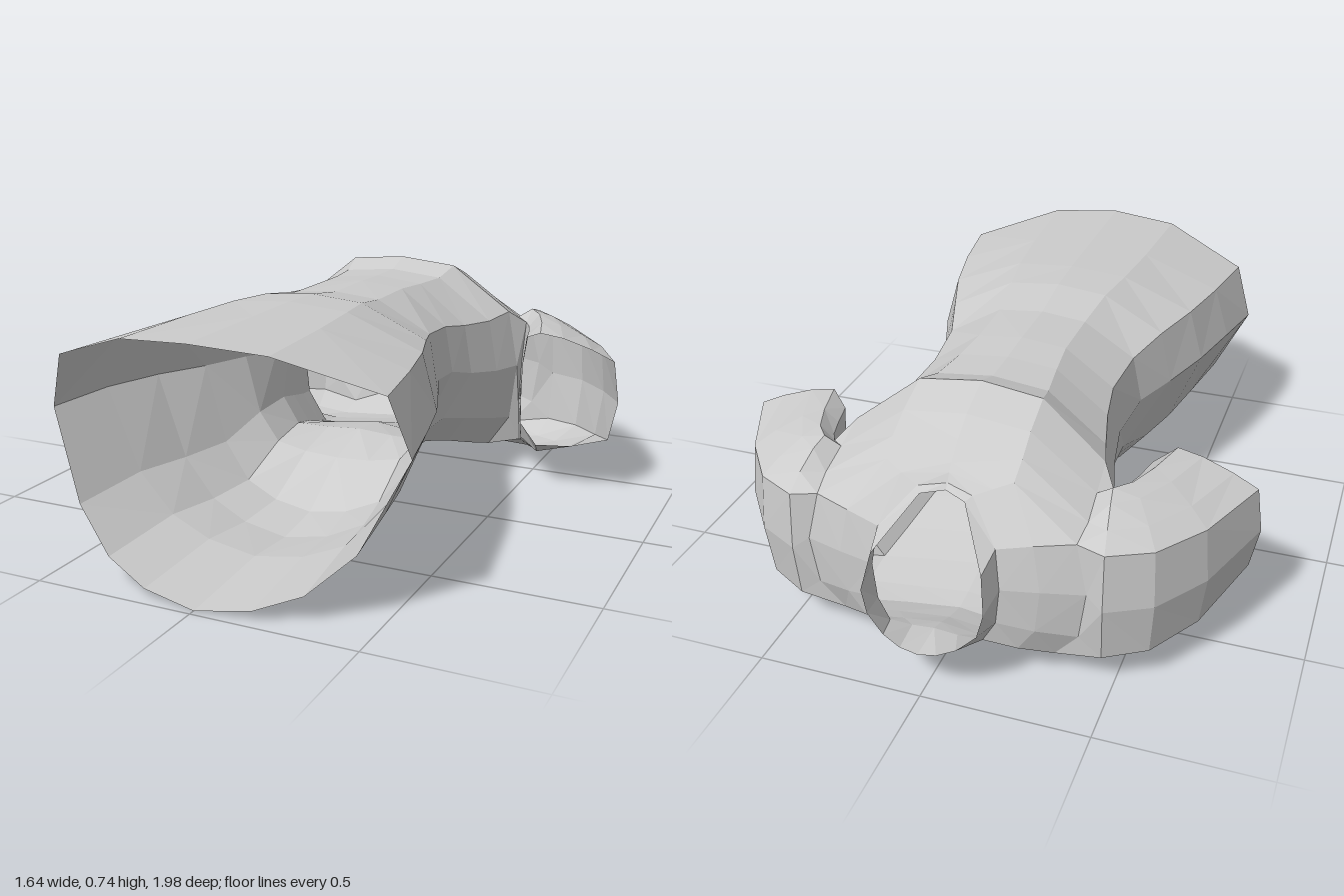
import * as THREE from 'three';

const material = new THREE.MeshStandardMaterial({ color: 0xcccccc, flatShading: true, side: THREE.DoubleSide });

// Half cross-sections from front centre round the side to back centre:
// [share of half width, share of height]
const SECTIONS = [
  [[0, 1], [0.4, 0.98], [0.9, 0.85], [1, 0.62], [0.78, 0.27], [0.55, 0.11], [0.3, 0.035], [0, 0]],    // skirt
  [[0, 1], [0.45, 0.97], [0.92, 0.74], [1, 0.45], [0.95, 0.16], [0.78, 0], [0.38, 0.03], [0, 0.06]], // chest
  [[0, 1], [0.37, 0.98], [0.9, 0.64], [1, 0.38], [0.9, 0.2], [0.6, 0.08], [0.3, 0.02], [0, 0]],      // neck
];

// Rings from hem to collar: zFront, zSide, zBack, halfWidth, yFront, yBack, section blend
const RINGS = [
  [0.97, 0.81, 0.98, 0.56, 0.74, 0, 0],
  [0.62, 0.6, 0.64, 0.52, 0.74, 0.025, 0],
  [0.4, 0.4, 0.45, 0.47, 0.74, 0.012, 0],
  [0.25, 0.22, 0.28, 0.405, 0.735, 0.03, 0.1],
  [0.08, 0.06, 0.08, 0.345, 0.71, 0.14, 0.4],
  [-0.12, -0.12, -0.1, 0.325, 0.71, 0.175, 0.8],
  [-0.25, -0.25, -0.25, 0.345, 0.705, 0.15, 1],
  [-0.38, -0.4, -0.38, 0.385, 0.705, 0.105, 1],
  [-0.47, -0.52, -0.5, 0.42, 0.735, 0.07, 1],
  [-0.59, -0.62, -0.62, 0.425, 0.69, 0.05, 1],
  [-0.66, -0.72, -0.69, 0.43, 0.645, 0.045, 1],
  [-0.71, -0.8, -0.77, 0.42, 0.6, 0.075, 1],
  [-0.73, -0.84, -0.83, 0.3, 0.58, 0.105, 1],
  [-0.745, -0.86, -0.88, 0.19, 0.555, 0.13, 1.2],
];
const COLLAR = [-0.76, -0.96, -1, 0.18, 0.54, 0.15, 2];

// Armhole in the torso grid
const ROW_A = 8, ROW_B = 11, COL_A = 2, COL_B = 5, COLS = 14;

function makeRing([zFront, zSide, zBack, w, yFront, yBack, blend]) {
  const k = Math.min(Math.floor(blend), 1), t = blend - k;
  const half = SECTIONS[k].map(([u0, v0], i) => {
    const [u1, v1] = SECTIONS[k + 1][i];
    const u = u0 + (u1 - u0) * t, v = v0 + (v1 - v0) * t;
    const zEnd = i < 4 ? zFront : zBack;
    return new THREE.Vector3(u * w, yBack + (yFront - yBack) * v, zSide + (zEnd - zSide) * (1 - u * u));
  });
  return [...half, ...half.slice(1, -1).reverse().map(mirror)];
}

function mirror(p) {
  return new THREE.Vector3(-p.x, p.y, p.z);
}

// Skin closed rings with quads split on the shorter diagonal,
// leaving out those where skip(row, column) holds
function skin(name, rings, skip = () => false) {
  const n = rings[0].length, points = [];
  for (let r = 0; r < rings.length - 1; r++) {
    for (let c = 0; c < n; c++) {
      if (skip(r, c)) continue;
      const d = (c + 1) % n;
      const a0 = rings[r][c], a1 = rings[r][d], b0 = rings[r + 1][c], b1 = rings[r + 1][d];
      if (a1.distanceTo(b0) < a0.distanceTo(b1)) points.push(a0, a1, b0, a1, b1, b0);
      else points.push(a0, a1, b1, a0, b1, b0);
    }
  }
  const geometry = new THREE.BufferGeometry().setFromPoints(points);
  geometry.computeVertexNormals();
  const mesh = new THREE.Mesh(geometry, material);
  mesh.name = name;
  return mesh;
}

// Sleeve cross-section from inner top, down the inside and up the outside:
// [share from inner to outer edge, share of height]
const SLEEVE_SECTION = [
  [0.14, 0.92], [0.05, 0.65], [0, 0.35], [0.06, 0.08], [0.3, 0], [0.62, 0.02],
  [0.93, 0.11], [1, 0.45], [0.95, 0.8], [0.75, 0.89], [0.5, 0.97], [0.3, 1],
];

// Sleeve rings: inner x, inner z, outer x, outer z, yLow, yHigh, pull of the inner edge to the armpit
const SLEEVE = [
  [0.425, -0.54, 0.47, -0.815, 0.045, 0.555, 0],
  [0.43, -0.49, 0.6, -0.75, 0.055, 0.55, 0.04],
  [0.435, -0.41, 0.715, -0.6, 0.08, 0.545, 0.11],
  [0.44, -0.32, 0.82, -0.36, 0.15, 0.54, 0.2],
];

function sleeveRing([xi, zi, xo, zo, lo, hi, pull]) {
  return SLEEVE_SECTION.map(([s, h]) => new THREE.Vector3(
    xi + (xo - xi) * s,
    lo + (hi - lo) * h,
    zi + (zo - zi) * s - pull * Math.max(0, 1 - s / 0.3) ** 2));
}

export function createModel() {
  const group = new THREE.Group();
  group.name = 'dress';

  // Skirt, waist and chest with two armholes
  const rings = RINGS.map(makeRing);
  const inArmhole = (r, c) => r >= ROW_A && r < ROW_B &&
    ((c >= COL_A && c < COL_B) || (c >= COLS - COL_B && c < COLS - COL_A));
  group.add(skin('body', rings, inArmhole));

  // Standing collar
  group.add(skin('collar', [rings[rings.length - 1], makeRing(COLLAR)]));

  // Sleeves grow out of the armhole border
  const border = [];
  for (let c = COL_A; c < COL_B; c++) border.push(rings[ROW_A][c]);
  for (let r = ROW_A; r < ROW_B; r++) border.push(rings[r][COL_B]);
  for (let c = COL_B; c > COL_A; c--) border.push(rings[ROW_B][c]);
  for (let r = ROW_B; r > ROW_A; r--) border.push(rings[r][COL_A]);
  const left = [border, ...SLEEVE.map(sleeveRing)];
  group.add(skin('leftSleeve', left));
  group.add(skin('rightSleeve', left.map(ring => ring.map(mirror).reverse())));

  return group;
}
